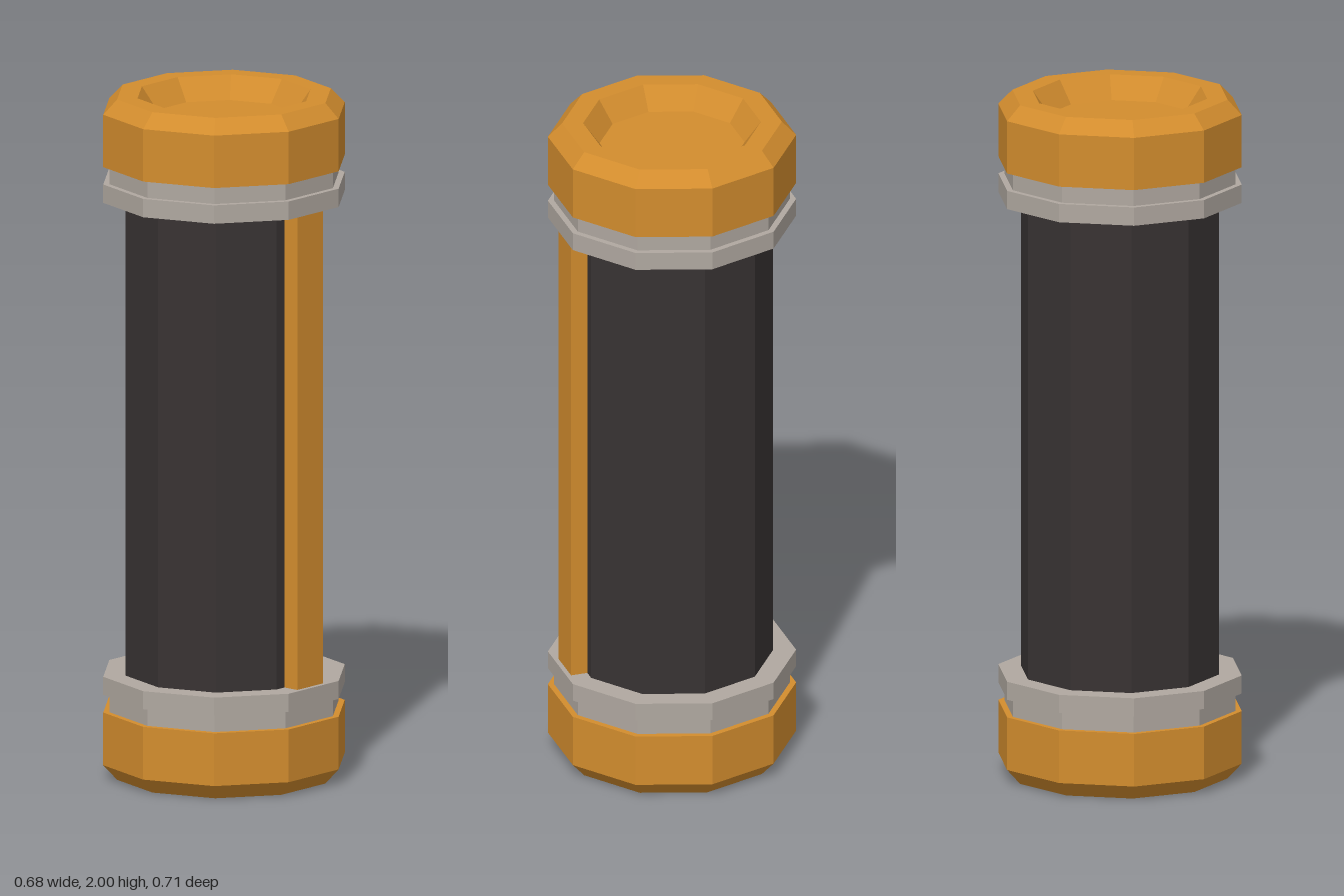
import * as THREE from 'three';

const SIDES = 10;

const material = (name, color) => {
  const m = new THREE.MeshStandardMaterial({ color });
  m.name = name;
  return m;
};

// Ten-sided turned solid with flat faces; profile is [radius, y] from bottom to top
function turned(name, profile, mat) {
  const points = profile.map(([r, y]) => new THREE.Vector2(r, y));
  const geometry = new THREE.LatheGeometry(points, SIDES).toNonIndexed();
  geometry.computeVertexNormals();
  const mesh = new THREE.Mesh(geometry, mat);
  mesh.name = name;
  return mesh;
}

// Plain ten-sided disc or column
const disc = (name, radius, y0, y1, mat) =>
  turned(name, [[0, y0], [radius, y0], [radius, y1], [0, y1]], mat);

export function createModel() {
  const orange = material('orange', 0xd38d2e);
  const grey = material('warm grey', 0xb0a8a0);
  const dark = material('charcoal', 0x383333);

  const model = new THREE.Group();
  model.name = 'canister';

  // Dark central column
  model.add(disc('body', 0.29, 0.15, 1.85, dark));

  // Raised strip along the left side
  const strip = new THREE.Mesh(new THREE.BoxGeometry(0.125, 1.44, 0.112), orange);
  strip.name = 'sideStrip';
  strip.position.set(0.2625, 1, 0);
  model.add(strip);

  // Stepped metal collars at both ends
  model.add(
    disc('lowerNeckRing', 0.338, 0.2, 0.252, grey),
    disc('lowerCollar', 0.356, 0.252, 0.305, grey),
    disc('upperCollar', 0.356, 1.698, 1.752, grey),
    disc('upperNeckRing', 0.338, 1.752, 1.805, grey),
  );

  // Bottom cap with a chamfered foot
  model.add(turned('bottomCap', [
    [0, 0], [0.315, 0], [0.356, 0.045], [0.356, 0.2], [0, 0.2],
  ], orange));

  // Top cap with a chamfered rim and a sloping recess
  model.add(turned('topCap', [
    [0, 1.803], [0.356, 1.803], [0.356, 1.957], [0.315, 2],
    [0.255, 2], [0.208, 1.935], [0, 1.935],
  ], orange));

  return model;
}
